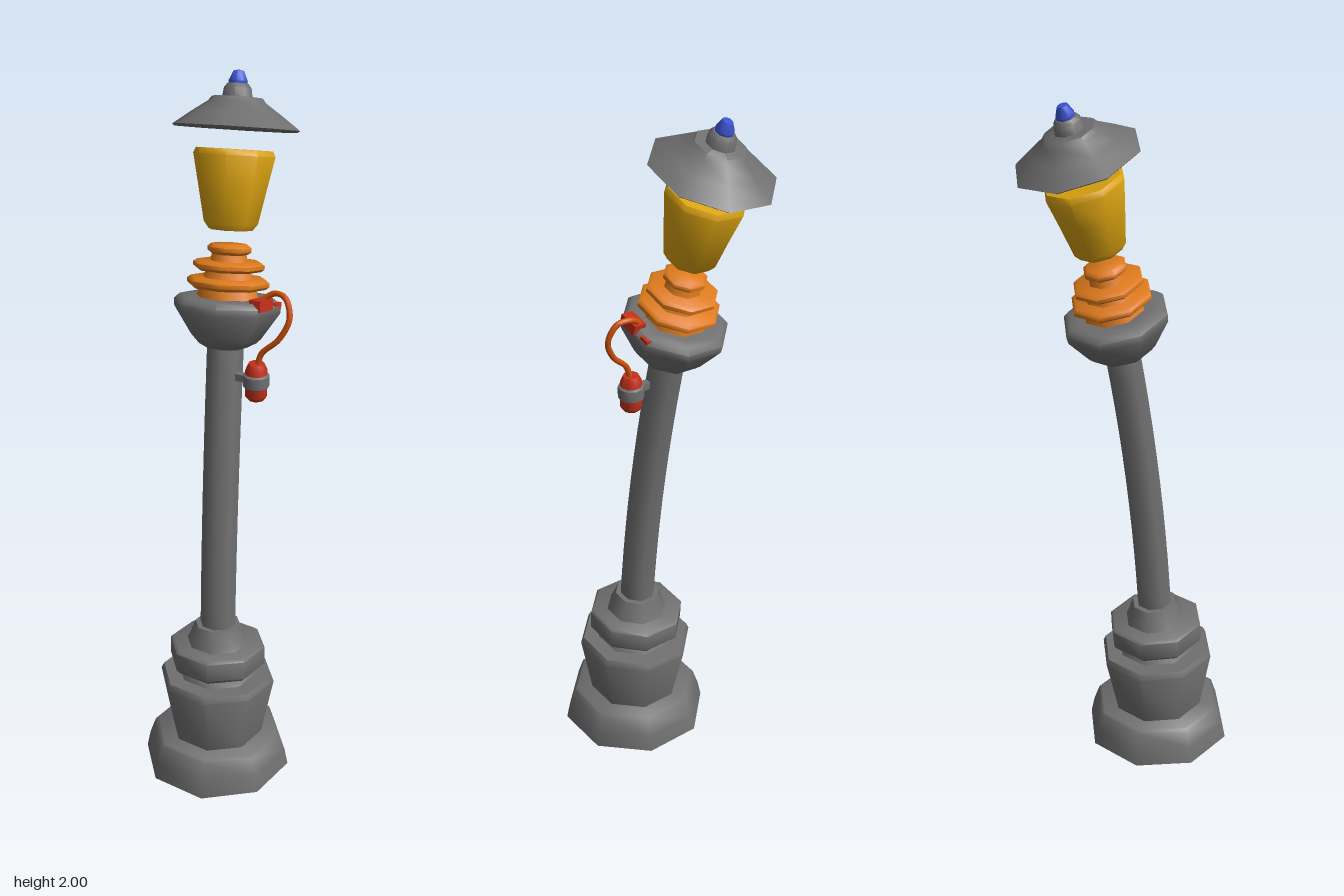
import * as THREE from 'three';
import { toCreasedNormals } from 'three/addons/utils/BufferGeometryUtils.js';

const mat = (name, color) => {
  const m = new THREE.MeshStandardMaterial({ color });
  m.name = name;
  return m;
};

export function createModel() {
  const lamp = new THREE.Group();
  lamp.name = 'streetLamp';
  const grey = mat('grey metal', 0x707070);
  const yellow = mat('yellow glass', 0xdca412);
  const orange = mat('orange insulator', 0xdd7a1c);
  const cableOrange = mat('orange cable', 0xd4530c);
  const red = mat('red plug', 0xc4301a);
  const blue = mat('blue finial', 0x3a54d2);

  const add = (name, geometry, material) => {
    const mesh = new THREE.Mesh(geometry, material);
    mesh.name = name;
    lamp.add(mesh);
    return mesh;
  };

  // The whole post leans backwards, more and more with height
  const bend = (geometry) => {
    const p = geometry.attributes.position;
    for (let i = 0; i < p.count; i++) {
      const h = p.getY(i), z = p.getZ(i), tilt = 0.165 * h;
      p.setY(i, h + z * Math.sin(tilt));
      p.setZ(i, 0.098 - 0.071 * h * h + z * Math.cos(tilt));
    }
    return toCreasedNormals(geometry, 0.87);
  };

  // Eight-sided turned part, profile given from bottom to top as [radius, height]
  const turned = (name, profile, material) => add(
    name,
    bend(new THREE.LatheGeometry(profile.map(([r, h]) => new THREE.Vector2(r, h)), 8)),
    material
  );

  // Stepped foot
  turned('base', [[0, 0], [0.215, 0], [0.205, 0.05], [0.188, 0.1], [0.18, 0.107], [0, 0.107]], grey);
  turned('pedestal', [[0, 0.1], [0.132, 0.1], [0.168, 0.285], [0.16, 0.302], [0, 0.302]], grey);
  turned('neck', [[0.115, 0.3], [0.105, 0.318], [0.118, 0.34]], grey);
  turned('footRing', [[0, 0.33], [0.128, 0.33], [0.139, 0.342], [0.139, 0.395], [0.13, 0.402], [0, 0.402]], grey);
  turned('collar', [[0.09, 0.4], [0.08, 0.42], [0.066, 0.46], [0, 0.46]], grey);

  // Curved pole
  const pole = [];
  for (let i = 0; i <= 10; i++) pole.push([0.051, 0.44 + i * 0.087]);
  turned('pole', pole, grey);

  // Bowl below the lamp
  turned('bowl', [[0, 1.285], [0.058, 1.285], [0.085, 1.3], [0.097, 1.312], [0.146, 1.385],
    [0.148, 1.405], [0.132, 1.42], [0.1, 1.42], [0, 1.42]], grey);

  // Stack of insulator discs on a core
  turned('insulatorCore', [[0.088, 1.41], [0.07, 1.47], [0.055, 1.5], [0.042, 1.555], [0, 1.555]], orange);
  [[0.113, 1.458, 0.013], [0.098, 1.503, 0.012], [0.06, 1.546, 0.013]].forEach(([r, h, t], i) =>
    turned('insulatorDisc' + (i + 1), [[0, h - t], [r - 0.01, h - t], [r, h - t * 0.4],
      [r, h + t * 0.4], [r - 0.01, h + t], [0, h + t]], orange));

  // Lamp glass
  turned('lampGlass', [[0, 1.597], [0.06, 1.597], [0.074, 1.615], [0.094, 1.71], [0.111, 1.788],
    [0.104, 1.802], [0, 1.802]], yellow);

  // Roof, cap and finial
  turned('roof', [[0, 1.87], [0.165, 1.852], [0.172, 1.857], [0.12, 1.893], [0.078, 1.92], [0.068, 1.932], [0, 1.935]], grey);
  turned('roofCap', [[0.042, 1.925], [0.037, 1.955], [0.028, 1.966], [0, 1.966]], grey);
  turned('finial', [[0.022, 1.96], [0.026, 1.972], [0.014, 1.997], [0, 2]], blue);

  // Hanging plug with a grey clamp fixed to the pole
  const plugAt = (name, profile, material) => {
    const g = new THREE.LatheGeometry(profile.map(([r, y]) => new THREE.Vector2(r, y)), 10);
    add(name, toCreasedNormals(g, 0.87), material).position.set(0.097, 0, 0.037);
  };
  plugAt('plug', [[0, 1.162], [0.022, 1.162], [0.03, 1.172], [0.03, 1.25], [0.022, 1.268], [0, 1.27]], red);
  plugAt('plugClamp', [[0.03, 1.198], [0.036, 1.202], [0.036, 1.234], [0.03, 1.238]], grey);
  const arm = add('clampArm', new THREE.BoxGeometry(0.07, 0.02, 0.02), grey);
  arm.position.set(0.05, 1.217, 0.022);
  arm.rotation.y = -0.3;

  // Cable looping from the plug up to the socket on the bowl rim
  const path = new THREE.CatmullRomCurve3([
    [0.1, 1.262, 0.038], [0.112, 1.3, 0.042], [0.16, 1.35, 0.052], [0.187, 1.41, 0.05],
    [0.172, 1.458, 0.03], [0.14, 1.462, 0.01], [0.108, 1.442, 0.006]
  ].map((p) => new THREE.Vector3(...p)));
  add('cable', new THREE.TubeGeometry(path, 36, 0.008, 8), cableOrange);

  // Red socket along the rim
  const socket = add('socket', new THREE.BoxGeometry(0.036, 0.03, 0.062), red);
  socket.position.set(0.105, 1.432, 0.024);
  socket.rotation.set(-0.2, -0.4, 0);
  const tab = add('socketTab', new THREE.BoxGeometry(0.022, 0.016, 0.03), red);
  tab.position.set(0.132, 1.41, -0.034);
  tab.rotation.set(-0.2, -0.4, 0);

  return lamp;
}
